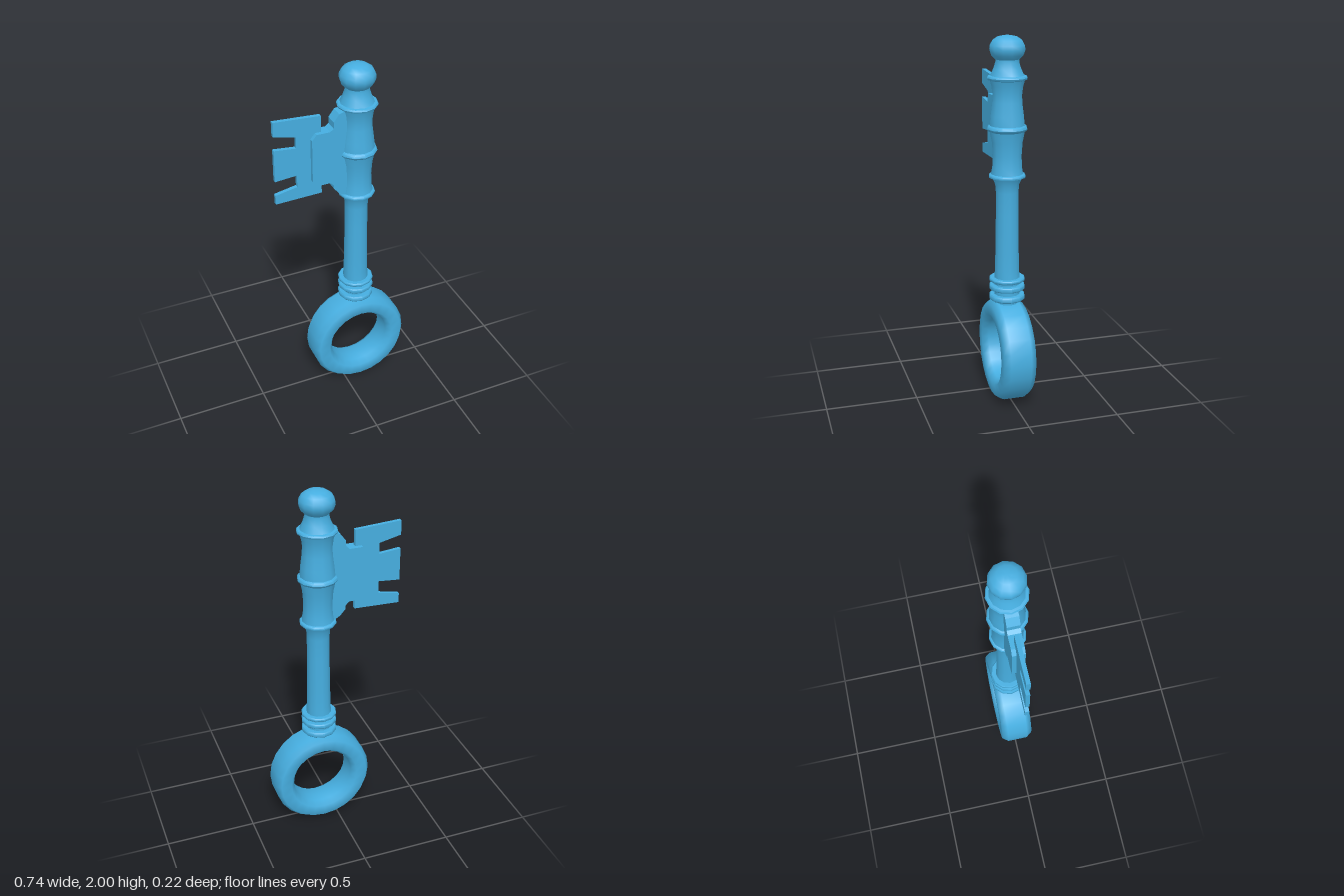
import * as THREE from 'three';
import { toCreasedNormals } from 'three/addons/utils/BufferGeometryUtils.js';

const AXIS = 0.088; // x of the shaft and bow

const points = (list) => list.map(([a, b]) => new THREE.Vector2(a, b));

export function createModel() {
  const key = new THREE.Group();
  key.name = 'key';
  const blue = new THREE.MeshStandardMaterial({ color: 0x46aee0 });
  blue.name = 'blue metal';

  function add(name, geometry, x = 0, y = 0) {
    const mesh = new THREE.Mesh(geometry, blue);
    mesh.name = name;
    mesh.position.set(x, y, 0);
    key.add(mesh);
  }

  function plate(name, outline, depth) {
    const shape = new THREE.Shape(points(outline));
    const geometry = new THREE.ExtrudeGeometry(shape, { depth, bevelEnabled: false });
    add(name, geometry.translate(0, 0, -depth / 2));
  }

  // Bow: a wide ring with a chamfered section
  const bow = new THREE.LatheGeometry(points([
    [0.173, 0], [0.173, -0.057], [0.197, -0.089], [0.257, -0.089], [0.28, -0.057],
    [0.28, 0.057], [0.257, 0.089], [0.197, 0.089], [0.173, 0.057], [0.173, 0],
  ]), 24);
  add('bowRing', bow.rotateX(Math.PI / 2), AXIS, 0.282);

  // Shaft: foot, three thin rings, slim stem, two waisted sections, ball tip
  const profile = [[0, 0.53], [0.062, 0.53], [0.062, 0.575]];
  for (const [low, high] of [[0.58, 0.605], [0.638, 0.66], [0.685, 0.7]]) {
    profile.push([0.07, low - 0.003], [0.093, low - 0.003], [0.098, low + 0.003],
      [0.098, high - 0.003], [0.093, high + 0.003], [0.07, high + 0.003]);
  }
  profile.push(
    [0.067, 0.75], [0.065, 0.85], [0.062, 1.05], [0.062, 1.18], [0.066, 1.225], [0.08, 1.256],
    [0.098, 1.26], [0.1, 1.268], [0.096, 1.276], [0.087, 1.28],
    [0.08, 1.32], [0.078, 1.38], [0.083, 1.45], [0.094, 1.505],
    [0.103, 1.51], [0.108, 1.52], [0.104, 1.532], [0.094, 1.538],
    [0.089, 1.59], [0.08, 1.66], [0.079, 1.7], [0.085, 1.745], [0.093, 1.772],
    [0.104, 1.776], [0.108, 1.785], [0.103, 1.793], [0.09, 1.796],
    [0.074, 1.83], [0.063, 1.865], [0.063, 1.878],
    [0.085, 1.9], [0.095, 1.928], [0.092, 1.95], [0.077, 1.976], [0.05, 1.993], [0.022, 1.999], [0, 2],
  );
  add('shaft', toCreasedNormals(new THREE.LatheGeometry(points(profile), 12), 0.75), AXIS);

  // Bit: thick web joined to the shaft, and the thin toothed blade through it
  plate('bitWeb', [
    [0.08, 1.77], [0.01, 1.77], [-0.025, 1.76], [-0.055, 1.72], [-0.055, 1.685], [-0.075, 1.67],
    [-0.148, 1.67], [-0.173, 1.64], [-0.173, 1.4], [-0.148, 1.37], [-0.075, 1.37],
    [-0.055, 1.35], [-0.055, 1.33], [-0.025, 1.295], [0.01, 1.275], [0.08, 1.275],
  ], 0.068);
  plate('toothedBlade', [
    [-0.115, 1.76], [-0.37, 1.775], [-0.37, 1.695], [-0.25, 1.667], [-0.25, 1.605], [-0.37, 1.617],
    [-0.37, 1.437], [-0.25, 1.447], [-0.25, 1.378], [-0.37, 1.355], [-0.37, 1.302], [-0.115, 1.31],
  ], 0.022);

  return key;
}
